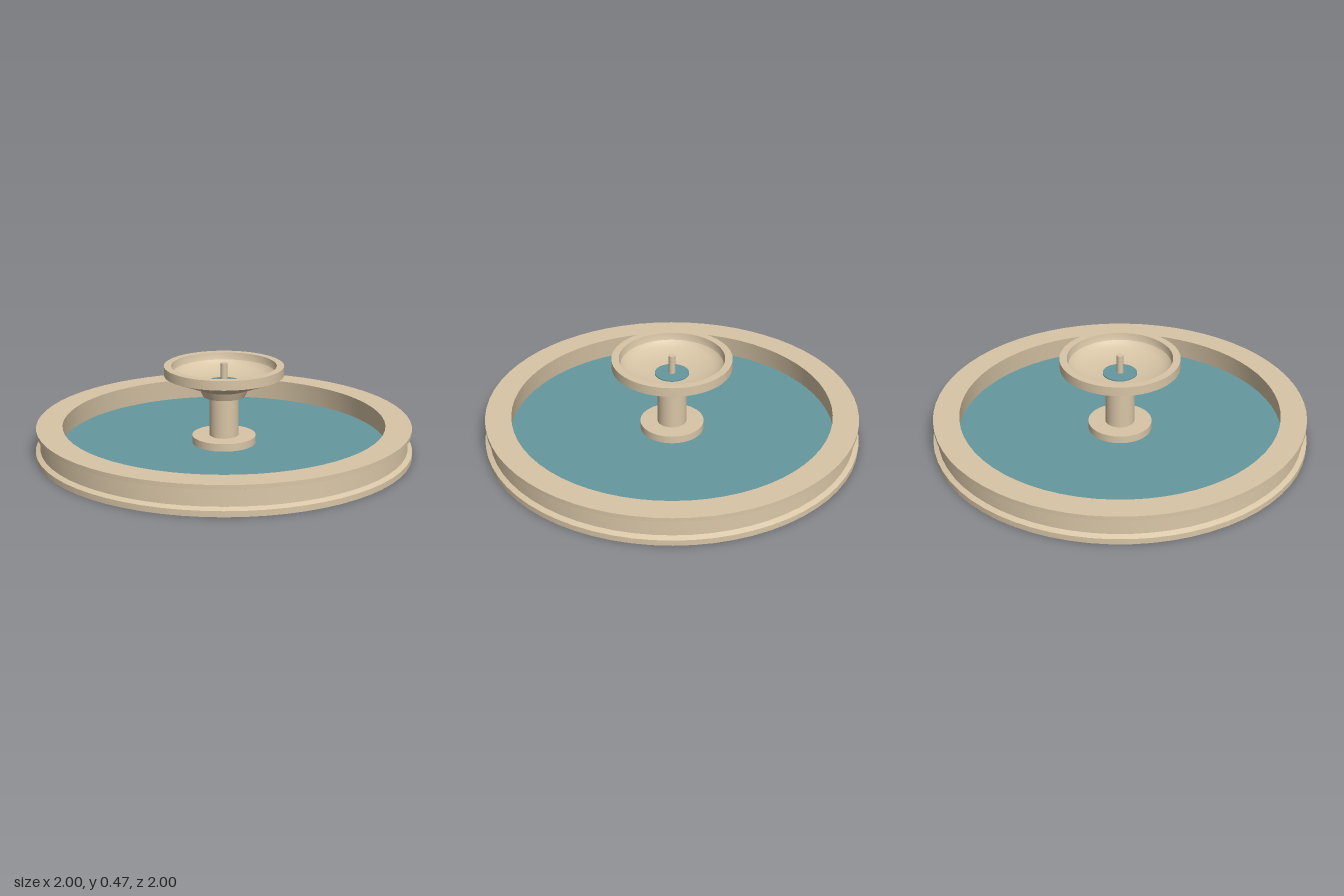
import * as THREE from 'three';
import { toCreasedNormals } from 'three/addons/utils/BufferGeometryUtils.js';

const SIDES = 64;

export function createModel() {
  const fountain = new THREE.Group();
  fountain.name = 'fountain';

  const stone = new THREE.MeshStandardMaterial({ color: 0xd8c5a6 });
  stone.name = 'stone';
  const water = new THREE.MeshStandardMaterial({ color: 0x64999e });
  water.name = 'water';

  function add(name, geometry, material, y = 0) {
    const mesh = new THREE.Mesh(geometry, material);
    mesh.name = name;
    mesh.position.y = y;
    fountain.add(mesh);
  }

  // Turned part from [radius, height] points, with crisp mouldings
  function turned(name, points) {
    const profile = points.map(([r, y]) => new THREE.Vector2(r, y));
    add(name, toCreasedNormals(new THREE.LatheGeometry(profile, SIDES), 0.3), stone);
  }

  // Upright cylinder given by its bottom and top heights
  function drum(name, radius, bottom, top, material, sides = SIDES) {
    const geometry = new THREE.CylinderGeometry(radius, radius, top - bottom, sides);
    add(name, geometry, material, (bottom + top) / 2);
  }

  // Lower basin: moulded ring, open in the middle
  turned('basinRing', [
    [0.873, 0], [1, 0], [1, 0.03], [0.975, 0.042], [0.972, 0.125],
    [0.993, 0.133], [0.993, 0.155], [0.855, 0.155], [0.873, 0],
  ]);
  drum('basinWater', 0.868, 0.005, 0.037, water);

  // Pedestal
  drum('pedestalFoot', 0.17, 0.02, 0.078, stone);
  drum('pedestalColumn', 0.078, 0.07, 0.3, stone);
  turned('pedestalCollar', [[0.07, 0.295], [0.112, 0.295], [0.132, 0.338], [0.07, 0.338]]);

  // Upper bowl: sloped underside, upright lip and rounded hollow
  const bowl = [[0.05, 0.336], [0.13, 0.336], [0.317, 0.41], [0.317, 0.46], [0.278, 0.46], [0.275, 0.435]];
  for (let i = 1; i <= 8; i++) {
    const a = (i / 8) * Math.PI / 2;
    bowl.push([0.06 + 0.215 * Math.cos(a), 0.435 - 0.07 * Math.sin(a)]);
  }
  bowl.push([0.01, 0.365]);
  turned('upperBowl', bowl);
  drum('bowlWater', 0.09, 0.362, 0.372, water);
  drum('spout', 0.018, 0.36, 0.473, stone, 16);

  return fountain;
}
